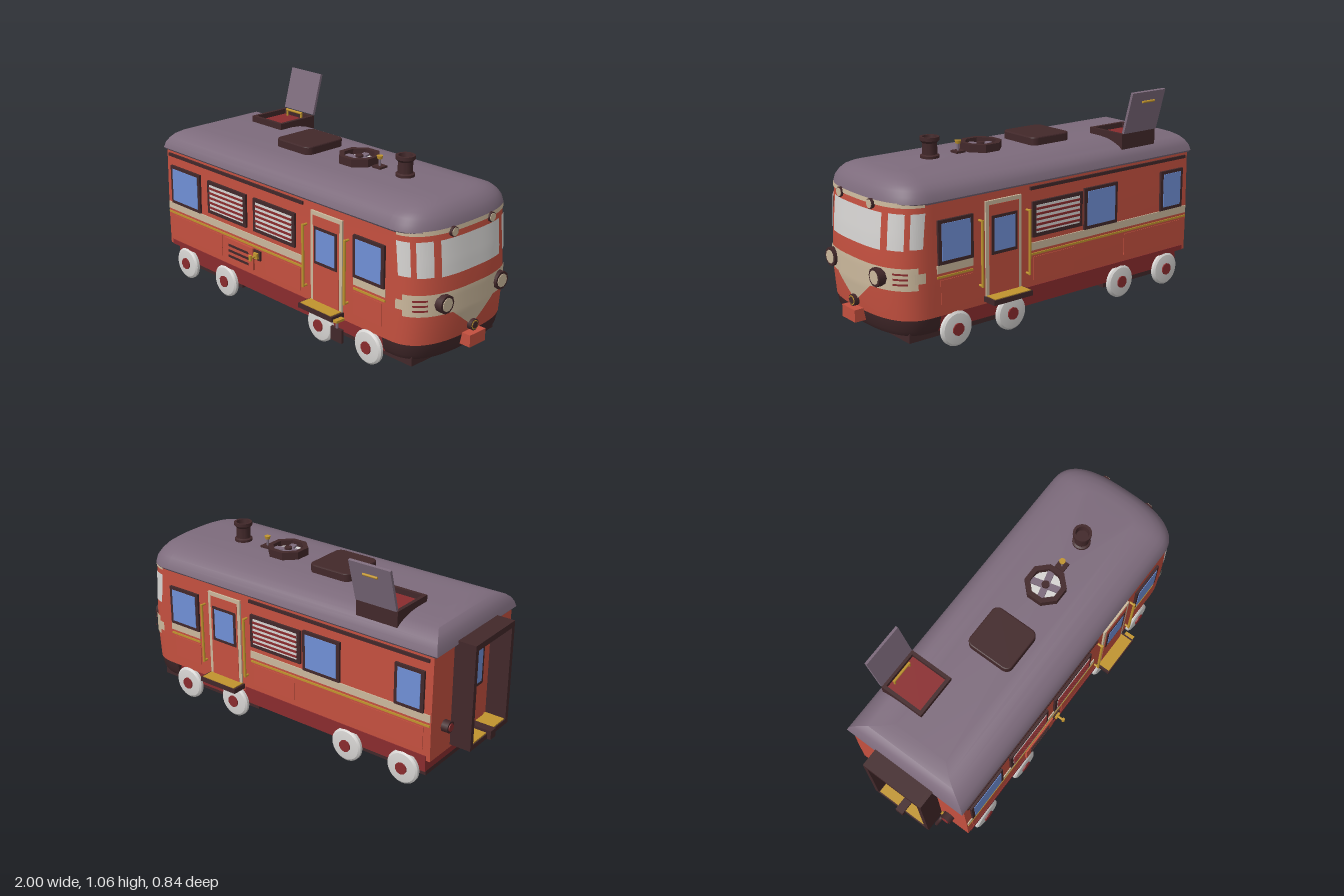
import * as THREE from 'three';
import { toCreasedNormals } from 'three/addons/utils/BufferGeometryUtils.js';

const mat = (name, color, side = THREE.FrontSide) => Object.assign(new THREE.MeshStandardMaterial({ color, side }), { name });

export function createModel() {
  const red = mat('body red', 0xc4503f), cream = mat('cream', 0xcbb89c), roofMat = mat('roof mauve', 0x7d6b7c);
  const dark = mat('dark brown', 0x42282a), darkRed = mat('deep red', 0x8a2c2e), white = mat('off white', 0xd6d4d2);
  const blue = mat('window blue', 0x7090d6), gold = mat('brass', 0xc0942e);
  const model = new THREE.Group();
  model.name = 'railcar';

  const add = (name, geo, m, x = 0, y = 0, z = 0) => {
    const mesh = new THREE.Mesh(geo, m);
    mesh.name = name;
    mesh.position.set(x, y, z);
    model.add(mesh);
    return mesh;
  };
  // Box given by its limits
  const box = (name, m, x0, x1, y0, y1, z0, z1) =>
    add(name, new THREE.BoxGeometry(x1 - x0, y1 - y0, z1 - z0), m, (x0 + x1) / 2, (y0 + y1) / 2, (z0 + z1) / 2);
  // Plate on one side wall, reaching out to z = out
  const plate = (name, m, s, x0, x1, y0, y1, out) =>
    box(name, m, x0, x1, y0, y1, s > 0 ? 0.325 : -out, s > 0 ? out : -0.325);
  const rod = (name, m, a, b, r) => {
    const p = new THREE.Vector3(...a), q = new THREE.Vector3(...b), d = q.clone().sub(p);
    const mesh = add(name, new THREE.CylinderGeometry(r, r, d.length(), 10), m, ...p.clone().add(q).multiplyScalar(0.5));
    mesh.quaternion.setFromUnitVectors(new THREE.Vector3(0, 1, 0), d.normalize());
    return mesh;
  };
  // Disc facing along x
  const disc = (name, m, r, len, x, y, z) => rod(name, m, [x, y, z], [x + len, y, z], r);

  // Plan of the rounded nose: x for a given z, half width w and front f
  const N = 2.7, X0 = 0.75;
  const planX = (z, w, f) => X0 + (f - X0) * Math.pow(Math.max(0, 1 - Math.pow(Math.abs(z) / w, N)), 1 / N);
  const angleOf = (z, w) => Math.sign(z) * Math.asin(Math.min(1, Math.pow(Math.abs(z) / w, N / 2)));
  const zAt = (t, w) => Math.sign(t) * w * Math.pow(Math.abs(Math.sin(t)), 2 / N);
  const fromIndex = (pos, idx) => {
    const g = new THREE.BufferGeometry();
    g.setAttribute('position', new THREE.Float32BufferAttribute(pos, 3));
    g.setIndex(idx);
    return toCreasedNormals(g, 0.6);
  };
  // Loft of plan outlines; rows are [y, half width, front x, rear x]
  const loft = (rows) => {
    const pos = [], idx = [], S = 40, n = S + 3;
    for (const [y, w, f, r] of rows) {
      for (let i = 0; i <= S; i++) {
        const z = zAt((i / S - 0.5) * Math.PI, w);
        pos.push(planX(z, w, f), y, z);
      }
      pos.push(r, y, w, r, y, -w);
    }
    for (let k = 0; k < rows.length - 1; k++) for (let i = 0; i < n; i++) {
      const a = k * n + i, b = k * n + (i + 1) % n;
      idx.push(a, a + n, b, b, a + n, b + n);
    }
    [0, rows.length - 1].forEach((k) => {
      const c = pos.length / 3;
      pos.push(0.3, rows[k][0], 0);
      for (let i = 0; i < n; i++) {
        const a = k * n + i, b = k * n + (i + 1) % n;
        idx.push(...(k ? [c, b, a] : [c, a, b]));
      }
    });
    return fromIndex(pos, idx);
  };

  // Body shell, nose skirt and roof
  const shell = [[0.085, 0.315, 0.925], [0.11, 0.33, 0.94], [0.165, 0.34, 0.952], [0.3, 0.342, 0.966],
    [0.4, 0.342, 0.966], [0.55, 0.34, 0.956], [0.71, 0.338, 0.94]];
  add('bodyShell', loft(shell.slice(2).map((r) => [...r, -0.87])), red);
  add('noseSkirt', loft(shell.slice(0, 3).map((r) => [...r, 0.72])), dark);
  add('roof', loft([[0.695, 0.338, 0.935, -0.88], [0.705, 0.346, 0.942, -0.89], [0.735, 0.337, 0.934, -0.882],
    [0.76, 0.318, 0.918, -0.87], [0.78, 0.292, 0.9, -0.855], [0.797, 0.25, 0.875, -0.83],
    [0.808, 0.205, 0.84, -0.8], [0.813, 0.15, 0.8, -0.75]]), roofMat);

  // Paint and glass following the nose; limits give [z0, z1] at height y
  const patch = (name, m, y0, y1, limits, off = 0.004) => {
    const pos = [], idx = [], R = 8, C = 24;
    for (let k = 0; k <= R; k++) {
      const y = y0 + (y1 - y0) * k / R;
      const i = Math.max(1, shell.findIndex((r) => r[0] >= y));
      const p = shell[i - 1], q = shell[i], t = (y - p[0]) / (q[0] - p[0]);
      const w = p[1] + (q[1] - p[1]) * t + off, f = p[2] + (q[2] - p[2]) * t + off;
      const [a, b] = limits(y).map((z) => angleOf(z, w));
      for (let j = 0; j <= C; j++) {
        const z = zAt(a + (b - a) * j / C, w);
        pos.push(planX(z, w, f), y, z);
      }
    }
    for (let k = 0; k < R; k++) for (let j = 0; j < C; j++) {
      const a = k * (C + 1) + j, u = a + C + 1;
      idx.push(a, u, a + 1, a + 1, u, u + 1);
    }
    return add(name, fromIndex(pos, idx), m);
  };
  patch('noseBand', cream, 0.31, 0.415, () => [-0.336, 0.336]);
  patch('noseTopBand', cream, 0.688, 0.709, () => [-0.34, 0.34]);
  patch('noseTriangle', cream, 0.2, 0.314, (y) => [-(y - 0.199) * 1.26, (y - 0.199) * 1.26], 0.005);
  patch('windscreen', white, 0.49, 0.66, () => [-0.2, 0.2]);
  for (const s of [1, -1]) {
    const span = (a, b) => () => (s > 0 ? [a, b] : [-b, -a]);
    patch('cornerPane', white, 0.495, 0.662, span(0.235, 0.302));
    patch('quarterPane', white, 0.5, 0.662, span(0.318, 0.3405));
    patch('bandTip', cream, 0.34, 0.388, span(0.33, 0.3445), 0.005);
    for (const y of [0.338, 0.362, 0.386]) patch('noseLouvre', darkRed, y, y + 0.009, span(0.27, 0.322), 0.012);
    // Headlights and marker lamps
    disc('headlightRing', dark, 0.045, 0.045, 0.93, 0.365, s * 0.192);
    disc('headlightLens', cream, 0.033, 0.048, 0.93, 0.365, s * 0.192);
    disc('markerRing', dark, 0.024, 0.03, 0.92, 0.688, s * 0.13);
    disc('markerLens', cream, 0.02, 0.033, 0.92, 0.688, s * 0.13);
  }
  disc('noseSocketRing', dark, 0.028, 0.03, 0.95, 0.205, 0);
  disc('noseSocketBrass', gold, 0.023, 0.032, 0.95, 0.205, 0);
  disc('noseSocketCore', dark, 0.018, 0.034, 0.95, 0.205, 0);
  box('frontBuffer', red, 0.92, 1, 0.115, 0.175, -0.055, 0.055);

  // Undercarriage and wheels
  box('underframe', darkRed, -0.83, 0.75, 0.085, 0.17, -0.315, 0.315);
  box('frontBogie', dark, 0.2, 0.86, 0.05, 0.1, -0.29, 0.29);
  box('rearBogie', dark, -0.82, -0.33, 0.05, 0.1, -0.29, 0.29);
  const tyre = new THREE.LatheGeometry([[0, -0.015], [0.075, -0.015], [0.085, -0.007], [0.085, 0.007], [0.075, 0.015],
    [0.055, 0.018], [0, 0.018]].map((p) => new THREE.Vector2(...p)), 28);
  for (const s of [1, -1]) for (const x of [-0.725, -0.4, 0.315, 0.635]) {
    add('wheel', toCreasedNormals(tyre, 0.5), white, x, 0.085, s * 0.336).rotation.x = s * Math.PI / 2;
    rod('wheelHub', darkRed, [x, 0.085, s * 0.33], [x, 0.085, s * 0.361], 0.031);
  }

  // Side walls
  const framed = (s, x0, x1, y0, y1) => {
    plate('windowFrame', dark, s, x0, x1, y0, y1, 0.352);
    plate('windowGlass', blue, s, x0 + 0.018, x1 - 0.018, y0 + 0.018, y1 - 0.016, 0.355);
  };
  const louvred = (s, x0, x1) => {
    plate('louvreFrame', dark, s, x0, x1, 0.435, 0.61, 0.352);
    plate('louvrePanel', white, s, x0 + 0.02, x1 - 0.02, 0.455, 0.592, 0.354);
    for (let i = 0; i < 5; i++) plate('louvreSlat', darkRed, s, x0 + 0.02, x1 - 0.02, 0.465 + i * 0.026, 0.476 + i * 0.026, 0.358);
  };
  for (const s of [1, -1]) {
    plate('gutter', dark, s, -0.85, 0.2, 0.668, 0.684, 0.348);
    plate('sill', darkRed, s, -0.85, 0.24, 0.165, 0.19, 0.344);
    for (const [a, b] of [[-0.865, 0.195], [0.54, 0.74]]) {
      plate('beltStripe', cream, s, a, b, 0.37, 0.408, 0.347);
      plate('beltTrim', gold, s, a, b, 0.346, 0.356, 0.347);
    }
    for (const [a, b] of [[-0.83, -0.42], [-0.08, 0.18], [0.54, 0.72]]) plate('lowerPanel', red, s, a, b, 0.22, 0.335, 0.345);
    framed(s, 0.54, 0.735, 0.41, 0.618);
    // Door with step and handrails
    plate('doorFrame', cream, s, 0.257, 0.468, 0.2, 0.66, 0.349);
    plate('doorLeaf', red, s, 0.275, 0.45, 0.2, 0.64, 0.351);
    plate('doorWindowFrame', dark, s, 0.285, 0.437, 0.4, 0.588, 0.354);
    plate('doorGlass', blue, s, 0.299, 0.423, 0.416, 0.574, 0.356);
    plate('step', dark, s, 0.245, 0.475, 0.178, 0.203, 0.42);
    plate('stepTread', gold, s, 0.255, 0.465, 0.2, 0.207, 0.415);
    for (const x of [0.22, 0.5]) {
      rod('handrail', gold, [x, 0.26, s * 0.365], [x, 0.582, s * 0.365], 0.007);
      for (const y of [0.265, 0.577]) rod('handrailBracket', gold, [x, y, s * 0.335], [x, y, s * 0.368], 0.006);
    }
  }
  framed(1, -0.83, -0.585, 0.41, 0.62);
  louvred(1, -0.52, -0.215);
  louvred(1, -0.158, 0.147);
  framed(-1, -0.36, -0.14, 0.41, 0.62);
  framed(-1, -0.83, -0.67, 0.41, 0.62);
  louvred(-1, -0.125, 0.19);
  // Vent, tap and hanging step sign on the left wall
  plate('ventPanel', red, 1, -0.39, -0.165, 0.22, 0.338, 0.353);
  for (const y of [0.238, 0.268, 0.298]) plate('ventSlot', dark, 1, -0.355, -0.2, y, y + 0.012, 0.356);
  plate('tapPlate', dark, 1, -0.16, -0.11, 0.285, 0.335, 0.352);
  plate('tapBody', gold, 1, -0.15, -0.12, 0.295, 0.325, 0.365);
  rod('tapStem', gold, [-0.135, 0.308, 0.35], [-0.135, 0.308, 0.4], 0.006);
  rod('tapHandle', gold, [-0.135, 0.293, 0.395], [-0.135, 0.323, 0.395], 0.008);
  rod('leverPost', roofMat, [0.475, 0.13, 0.385], [0.475, 0.19, 0.385], 0.007);
  box('leverClamp', gold, 0.45, 0.5, 0.178, 0.19, 0.36, 0.412);
  box('leverPlate', dark, 0.44, 0.512, 0.072, 0.14, 0.378, 0.393);

  // Rear gangway, open to the back
  for (const s of [1, -1]) {
    box('gangwayWall', dark, -0.98, -0.86, 0.18, 0.72, s * 0.16 - 0.012, s * 0.16 + 0.012);
    disc('rearLampBody', dark, 0.03, 0.04, -0.905, 0.31, s * 0.23);
    disc('rearLampLens', darkRed, 0.02, 0.04, -0.91, 0.31, s * 0.23);
  }
  box('gangwayTop', dark, -0.98, -0.86, 0.69, 0.72, -0.16, 0.16);
  box('gangwayFloor', dark, -0.98, -0.86, 0.18, 0.205, -0.16, 0.16);
  box('gangwayTread', gold, -0.975, -0.87, 0.203, 0.211, -0.145, 0.145);
  box('rearDoor', red, -0.876, -0.86, 0.21, 0.68, -0.12, 0.12);
  box('rearDoorFrame', dark, -0.88, -0.86, 0.4, 0.62, -0.085, 0.085);
  box('rearDoorGlass', blue, -0.883, -0.86, 0.418, 0.602, -0.068, 0.068);
  box('rearCoupler', dark, -1, -0.85, 0.18, 0.225, -0.022, 0.022);
  const hosePath = new THREE.CatmullRomCurve3([[-0.865, 0.29, 0.2], [-0.91, 0.27, 0.2], [-0.925, 0.22, 0.19], [-0.93, 0.19, 0.185]]
    .map((p) => new THREE.Vector3(...p)));
  add('brakeHose', new THREE.TubeGeometry(hosePath, 16, 0.01, 8), dark);
  disc('hoseFitting', gold, 0.015, 0.015, -0.89, 0.287, 0.2);

  // Roof cover with rounded corners
  const cover = new THREE.Shape();
  cover.absarc(0.085, 0.09, 0.03, 0, Math.PI / 2);
  cover.absarc(-0.085, 0.09, 0.03, Math.PI / 2, Math.PI);
  cover.absarc(-0.085, -0.09, 0.03, Math.PI, Math.PI * 1.5);
  cover.absarc(0.085, -0.09, 0.03, Math.PI * 1.5, Math.PI * 2);
  add('roofCover', new THREE.ExtrudeGeometry(cover, { depth: 0.045, bevelSize: 0.006, bevelThickness: 0.006, bevelSegments: 2 }),
    dark, -0.12, 0.803, 0).rotation.x = -Math.PI / 2;

  // Octagonal fan
  const ring = new THREE.Shape(), hole = new THREE.Path();
  for (let i = 0; i < 8; i++) {
    const a = (i + 0.5) * Math.PI / 4, c = Math.cos(a), s = Math.sin(a);
    ring[i ? 'lineTo' : 'moveTo'](0.105 * c, 0.105 * s);
    hole[i ? 'lineTo' : 'moveTo'](0.078 * c, 0.078 * s);
  }
  ring.holes.push(hole);
  add('fanRing', new THREE.ExtrudeGeometry(ring, { depth: 0.045, bevelEnabled: false }), dark, 0.23, 0.807, 0).rotation.x = -Math.PI / 2;
  add('fanDisc', new THREE.CylinderGeometry(0.08, 0.08, 0.02, 8), white, 0.23, 0.815, 0);
  for (let i = 0; i < 2; i++) add('fanBlade', new THREE.BoxGeometry(0.15, 0.01, 0.034), roofMat, 0.23, 0.83, 0).rotation.y = 0.25 + i * Math.PI / 2;
  add('fanHub', new THREE.CylinderGeometry(0.02, 0.02, 0.03, 12), dark, 0.23, 0.83, 0);

  // Brass bell post and chimney
  box('postBase', dark, 0.34, 0.392, 0.8, 0.823, -0.026, 0.026);
  rod('post', roofMat, [0.366, 0.81, 0], [0.366, 0.86, 0], 0.006);
  add('postKnob', new THREE.CylinderGeometry(0.016, 0.012, 0.016, 12), gold, 0.366, 0.865, 0);
  const stack = new THREE.LatheGeometry([[0.046, 0.8], [0.046, 0.825], [0.036, 0.83], [0.036, 0.885], [0.047, 0.897],
    [0.047, 0.914], [0.034, 0.914], [0.03, 0.88], [0, 0.88]].map((p) => new THREE.Vector2(...p)), 20);
  add('chimney', toCreasedNormals(stack, 0.6), dark, 0.53, 0, 0);

  // Open roof hatch with lid and ladder grip
  for (const [a, b] of [[-0.31, -0.292], [-0.09, -0.072]]) box('hatchRim', dark, -0.652, -0.422, 0.74, 0.845, a, b);
  for (const x of [-0.652, -0.44]) box('hatchRim', dark, x, x + 0.018, 0.74, 0.845, -0.31, -0.072);
  box('hatchInside', darkRed, -0.64, -0.43, 0.76, 0.818, -0.3, -0.08);
  rod('hatchGrip', gold, [-0.6, 0.852, -0.275], [-0.48, 0.852, -0.275], 0.007);
  for (const x of [-0.595, -0.485]) rod('hatchGripLeg', gold, [x, 0.81, -0.275], [x, 0.855, -0.275], 0.006);
  add('hatchLid', new THREE.BoxGeometry(0.226, 0.22, 0.014), roofMat, -0.538, 0.955, -0.341).rotation.x = -0.27;
  rod('lidHandle', gold, [-0.58, 1.008, -0.37], [-0.5, 1.008, -0.37], 0.006);

  return model;
}
